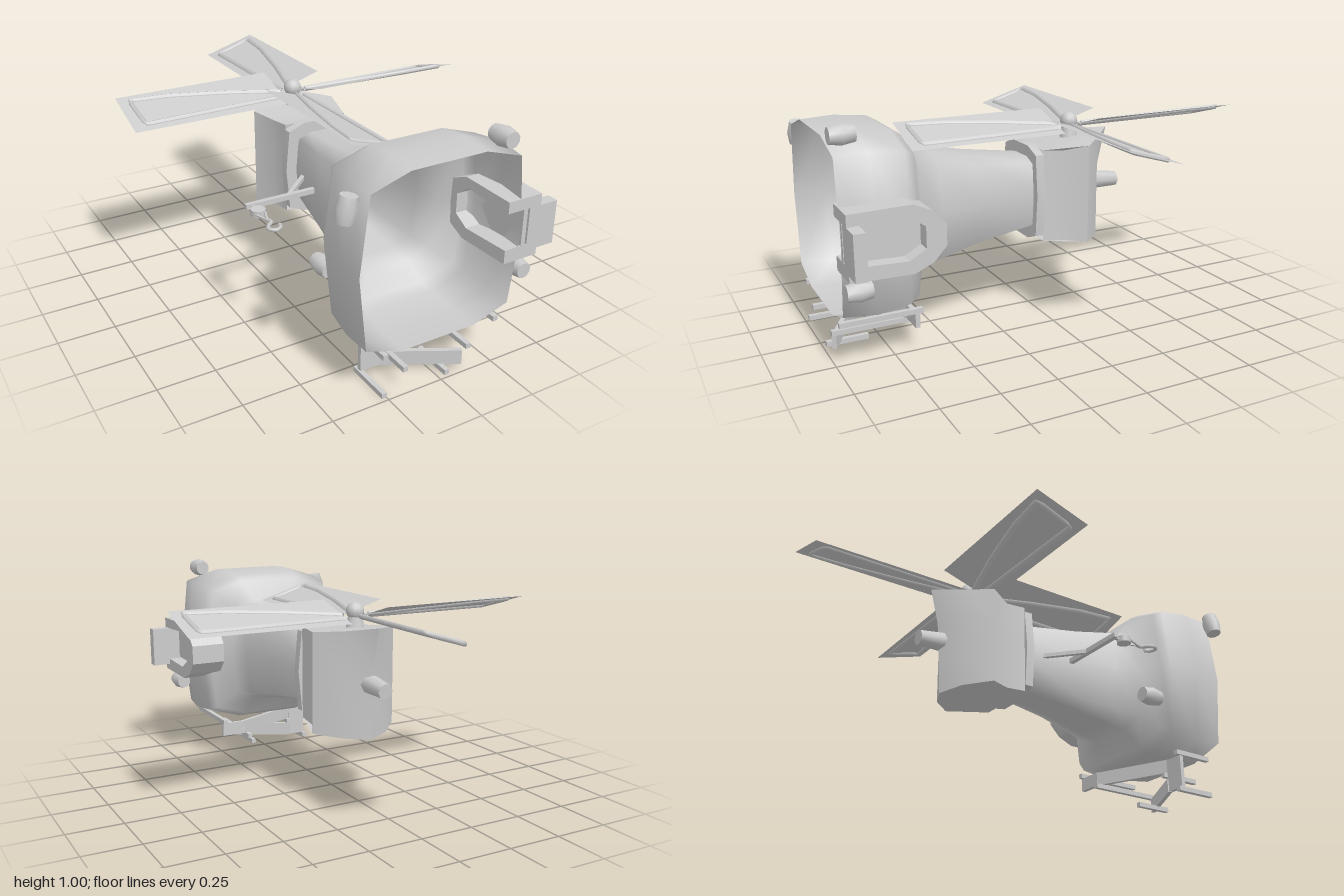
import * as THREE from 'three';
import { mergeVertices, toCreasedNormals } from 'three/addons/utils/BufferGeometryUtils.js';

const mat = new THREE.MeshStandardMaterial({ color: 0xcccccc, side: THREE.DoubleSide });
const V = (x, y, z) => new THREE.Vector3(x, y, z);

function add(parent, name, geo, x = 0, y = 0, z = 0) {
  const mesh = new THREE.Mesh(geo, mat);
  mesh.name = name;
  mesh.position.set(x, y, z);
  parent.add(mesh);
  return mesh;
}

// Skin a series of closed rings (arrays of Vector3), optionally capping both ends
function loft(rings, caps = false) {
  const n = rings[0].length, pos = [], idx = [];
  rings.forEach(r => r.forEach(p => pos.push(p.x, p.y, p.z)));
  for (let i = 0; i < rings.length - 1; i++) {
    for (let j = 0; j < n; j++) {
      const a = i * n + j, b = i * n + (j + 1) % n;
      idx.push(a, a + n, b, b, a + n, b + n);
    }
  }
  if (caps) {
    const last = (rings.length - 1) * n;
    for (let j = 1; j < n - 1; j++) {
      idx.push(0, j, j + 1, last, last + j + 1, last + j);
    }
  }
  const geo = new THREE.BufferGeometry();
  geo.setAttribute('position', new THREE.Float32BufferAttribute(pos, 3));
  geo.setIndex(idx);
  geo.computeVertexNormals();
  return geo;
}

// Softly chamfered square ring in the xy plane
const corner = [[1, 0], [0.9, 0.86], [0.45, 1]];
const outline = [
  ...corner,
  ...corner.slice(1).reverse().map(([x, y]) => [-x, y]),
  [-1, 0],
  ...corner.slice(1).map(([x, y]) => [-x, -y]),
  ...corner.slice(1).reverse().map(([x, y]) => [x, -y]),
];
const ring = (z, hx, hy, cx = 0) => outline.map(([x, y]) => V(cx + x * hx, 0.575 + y * hy, z));

// Thin bar between two points
function bar(parent, name, a, b, w, h = w) {
  const mesh = add(parent, name, new THREE.BoxGeometry(w, h, a.distanceTo(b)));
  mesh.position.copy(a).add(b).multiplyScalar(0.5);
  mesh.lookAt(b);
  return mesh;
}

// Shape drawn in (y, z), extruded along x
function sidePrism(points, x, depth) {
  const shape = new THREE.Shape(points.map(p => new THREE.Vector2(...p)));
  const geo = new THREE.ExtrudeGeometry(shape, { depth, bevelEnabled: false });
  geo.applyMatrix4(new THREE.Matrix4().makeBasis(V(0, 1, 0), V(0, 0, 1), V(1, 0, 0)));
  return geo.translate(x, 0, 0);
}

function makeCap() {
  // Half profile: x, z, lowest y, highest y
  const half = [[0.15, 0, 0.36, 0.78], [0.155, -0.1, 0.35, 0.77], [0.205, -0.2, 0.34, 0.79], [0.11, -0.3, 0.33, 0.8]];
  const rings = [-0.35, -0.36, -0.37, -0.41].map((ridgeZ, i) => {
    const t = i / 3;
    const at = ([x, z, lo, hi]) => V(x, lo + (hi - lo) * t, z);
    return [
      ...half.map(at),
      at([0, ridgeZ, 0.32, 0.82]),
      ...half.slice().reverse().map(([x, ...r]) => at([-x, ...r])),
    ];
  });
  // Leave the mouth of the cap open towards the tower
  const geo = loft(rings, true);
  const n = rings[0].length, idx = Array.from(geo.index.array), kept = [];
  for (let i = 0; i < idx.length; i += 3) {
    const t = idx.slice(i, i + 3);
    const onMouth = t.every(k => k % n === 0 || k % n === n - 1);
    if (!onMouth) kept.push(...t);
  }
  geo.setIndex(kept);
  return toCreasedNormals(geo, 0.5);
}

function makeSail() {
  const sail = new THREE.Group();
  const panel = new THREE.PlaneGeometry(0.25, 0.73).rotateX(-Math.PI / 2);
  panel.translate(-0.045, 0, 0.425);
  const path = [[0.03, 0.06], [0.04, 0.73], [-0.135, 0.74], [-0.12, 0.56], [-0.07, 0.3], [-0.01, 0.06]];
  const curve = new THREE.CurvePath();
  path.slice(1).forEach((p, i) => curve.add(new THREE.LineCurve3(V(path[i][0], 0, path[i][1]), V(p[0], 0, p[1]))));
  const frame = new THREE.TubeGeometry(curve, 60, 0.011, 6);
  // Pitch the blade across its width
  for (const g of [panel, frame]) {
    const p = g.attributes.position;
    for (let i = 0; i < p.count; i++) p.setY(i, p.getY(i) - 0.3 * (p.getX(i) + 0.045));
    g.computeVertexNormals();
  }
  add(sail, 'sailPanel', panel);
  add(sail, 'sailFrame', frame);
  return sail;
}

export function createModel() {
  const model = new THREE.Group();
  model.name = 'windmill';

  // Hollow house and tower, open at the base
  add(model, 'houseAndTower', loft([
    ring(0.98, 0.375, 0.375, -0.01), ring(0.84, 0.385, 0.383), ring(0.7, 0.365, 0.37),
    ring(0.655, 0.34, 0.345), ring(0.605, 0.235, 0.25), ring(0.5, 0.205, 0.235),
    ring(0.3, 0.165, 0.197), ring(0.0, 0.12, 0.16, 0.01),
  ]));
  add(model, 'collar', toCreasedNormals(loft([
    ring(0.04, 0.12, 0.15), ring(0.04, 0.17, 0.215), ring(0, 0.17, 0.215), ring(0, 0.145, 0.2),
  ]), 0.6));

  // Roof cap and chimney
  add(model, 'cap', makeCap());
  const chimney = add(model, 'chimney', new THREE.CylinderGeometry(0.035, 0.045, 0.13, 8), 0, 0.565, -0.4);
  chimney.rotation.x = -Math.PI / 2 - 0.08;

  // Sails around the hub
  const sails = new THREE.Group();
  sails.name = 'sails';
  sails.position.set(0, 0.863, -0.21);
  for (let i = 0; i < 4; i++) {
    const sail = makeSail();
    sail.name = 'sail';
    sail.rotation.y = i * Math.PI / 2;
    sails.add(sail);
  }
  add(sails, 'hub', new THREE.SphereGeometry(0.04, 12, 8), 0, 0.005, 0);
  add(sails, 'axle', new THREE.CylinderGeometry(0.03, 0.05, 0.1, 10), 0, -0.06, 0);
  model.add(sails);

  // Arched doorway with its doorstep
  const arch = [[0.44, 0.98], [0.435, 0.72], [0.47, 0.64], [0.53, 0.585], [0.62, 0.585], [0.68, 0.64], [0.715, 0.72], [0.71, 0.98]];
  const opening = [[0.66, 0.98], [0.67, 0.74], [0.62, 0.67], [0.53, 0.67], [0.49, 0.74], [0.5, 0.98]];
  add(model, 'doorFrame', sidePrism([...arch, ...opening], 0.29, 0.165));
  add(model, 'door', sidePrism(opening, 0.37, 0.02));
  add(model, 'doorstep', new THREE.BoxGeometry(0.14, 0.19, 0.05), 0.47, 0.565, 0.955);

  // Barrels, standing along z or lying along y
  const barrelProfile = [[0, -0.052], [0.034, -0.052], [0.043, 0], [0.034, 0.052], [0, 0.052]];
  const barrelGeo = toCreasedNormals(
    mergeVertices(new THREE.LatheGeometry(barrelProfile.map(p => new THREE.Vector2(...p)), 10)), 0.8);
  const barrels = [
    [0.275, 0.97, 0.93, Math.PI / 2, 0], [0.4, 0.38, 0.93, Math.PI / 2, 0],
    [-0.42, 0.845, 0.94, 0, -0.2], [-0.31, 0.42, 0.6, Math.PI / 2, 0], [-0.285, 0.34, 0.61, 0, 0.1],
  ];
  barrels.slice(0, 4).forEach(([x, y, z, rx, rz]) => {
    add(model, 'barrel', barrelGeo, x, y, z).rotation.set(rx, 0, rz);
  });

  // Hoist with pulley and hook
  const hoist = new THREE.Group();
  hoist.name = 'hoist';
  const hy = 0.572;
  bar(hoist, 'hoistBeam', V(-0.48, hy, 0.26), V(-0.13, hy, 0.26), 0.022);
  bar(hoist, 'hoistBrace', V(-0.28, hy, 0.26), V(-0.13, hy, 0.12), 0.018);
  bar(hoist, 'hoistRope', V(-0.455, hy, 0.26), V(-0.455, hy, 0.31), 0.012);
  add(hoist, 'pulley', new THREE.CylinderGeometry(0.032, 0.032, 0.028, 12), -0.455, hy, 0.325);
  for (const s of [-1, 1]) bar(hoist, 'hookRope', V(-0.455 + s * 0.026, hy, 0.335), V(-0.455, hy, 0.41), 0.008);
  const hookPath = new THREE.CatmullRomCurve3([[-0.455, 0.4], [-0.45, 0.43], [-0.475, 0.455], [-0.485, 0.48],
    [-0.465, 0.5], [-0.44, 0.49], [-0.43, 0.465]].map(([x, z]) => V(x, hy, z)));
  add(hoist, 'hook', new THREE.TubeGeometry(hookPath, 20, 0.009, 6));
  model.add(hoist);

  // Two flights of stairs with landings on posts
  const stairs = new THREE.Group();
  stairs.name = 'stairs';
  add(stairs, 'upperLanding', new THREE.BoxGeometry(0.12, 0.065, 0.02), 0.22, 0.155, 0.655);
  add(stairs, 'middleLanding', new THREE.BoxGeometry(0.09, 0.155, 0.02), -0.22, 0.107, 0.81);
  bar(stairs, 'upperFlight', V(0.165, 0.155, 0.655), V(-0.18, 0.155, 0.815), 0.02, 0.065);
  bar(stairs, 'lowerFlight', V(-0.18, 0.06, 0.805), V(0.12, 0.06, 0.97), 0.02, 0.065);
  const posts = [[0.27, 0.197, 0.63], [0.14, 0.11, 0.62], [-0.26, 0.197, 0.78], [-0.165, 0.11, 0.78],
    [-0.26, 0.02, 0.78], [0.04, 0.02, 0.8]];
  for (const [x, y, z] of posts) bar(stairs, 'stairPost', V(x, y, z), V(x, y, 0.985), 0.022);
  model.add(stairs);

  return model;
}
